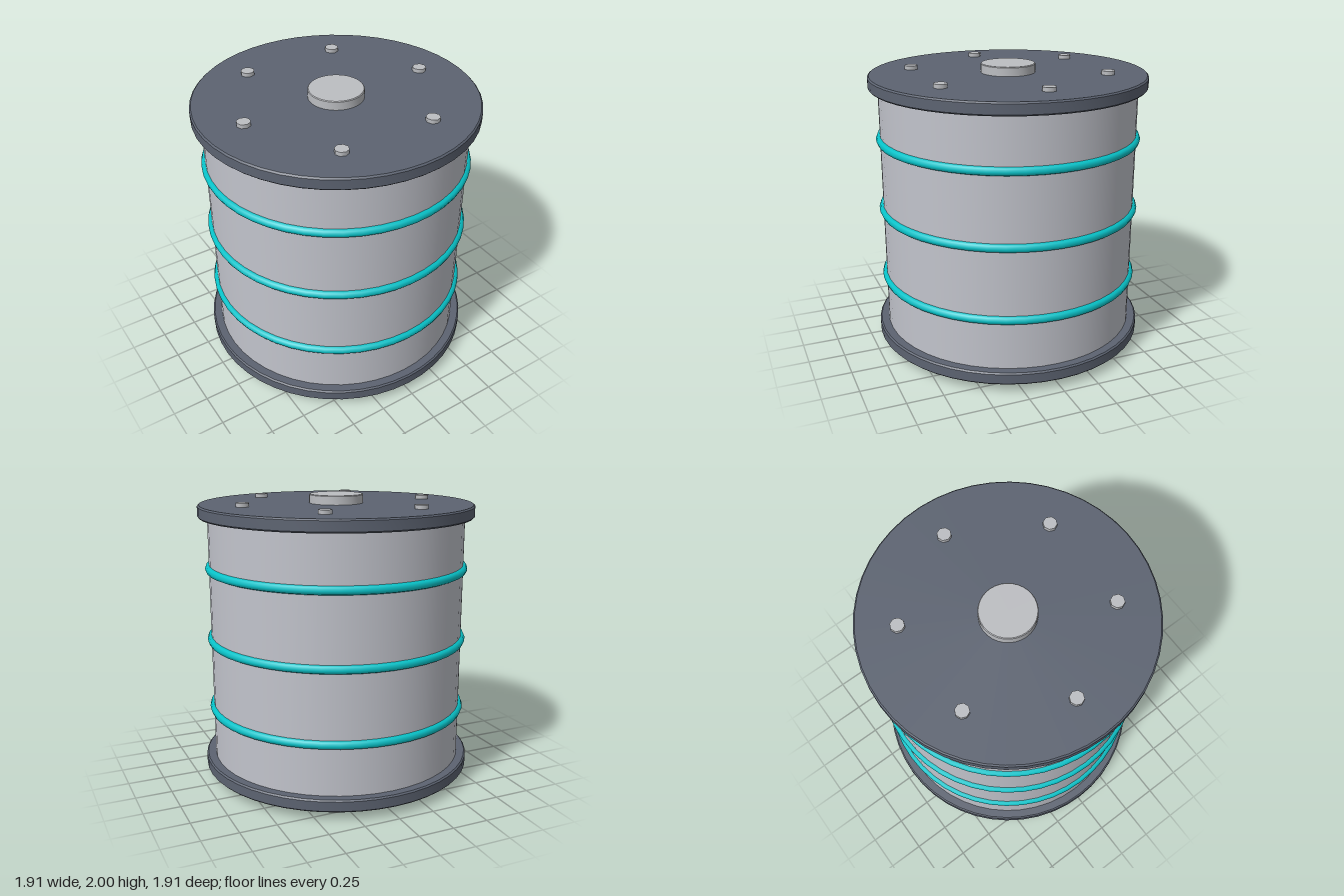
import * as THREE from 'three';
import { toCreasedNormals } from 'three/addons/utils/BufferGeometryUtils.js';

const mat = (name, color) => new THREE.MeshStandardMaterial({ name, color });

export function createModel() {
  const shellGrey = mat('shell grey', 0xc2c4cc);
  const steel = mat('steel', 0xbcbec2);
  const slate = mat('dark slate', 0x5c6371);
  const teal = mat('teal', 0x08c4ca);

  const model = new THREE.Group();
  model.name = 'drum';
  const add = (parent, name, geometry, material, x = 0, y = 0, z = 0) => {
    const mesh = new THREE.Mesh(geometry, material);
    mesh.name = name;
    mesh.position.set(x, y, z);
    parent.add(mesh);
    return mesh;
  };

  // Disc with a small chamfer on both rims, centred on y = 0
  const disc = (r, h, bevel, sides) => {
    const k = h / 2;
    const profile = [[0, -k], [r - bevel, -k], [r, -k + bevel], [r, k - bevel], [r - bevel, k], [0, k]];
    const lathe = new THREE.LatheGeometry(profile.map(([x, y]) => new THREE.Vector2(x, y)), sides);
    return toCreasedNormals(lathe, 0.5);
  };

  // Cylindrical shell between the end plates
  add(model, 'shell', new THREE.CylinderGeometry(0.89, 0.89, 1.72, 48, 1, true), shellGrey, 0, 1, 0);

  // Bands around the shell
  const band = new THREE.TorusGeometry(0.888, 0.03, 8, 48).rotateX(Math.PI / 2);
  for (const y of [0.5, 1, 1.5]) add(model, 'band', band, teal, 0, y, 0);

  // Matching ends: plate, hub and six bolts, the lower one turned over
  const plate = disc(0.955, 0.086, 0.01, 48);
  const hub = disc(0.187, 0.08, 0.005, 32);
  const bolt = new THREE.CylinderGeometry(0.047, 0.047, 0.045, 8);
  for (const side of ['top', 'bottom']) {
    const end = new THREE.Group();
    end.name = side + 'End';
    end.position.y = 1;
    if (side === 'bottom') end.rotation.x = Math.PI;
    add(end, 'endPlate', plate, slate, 0, 0.895, 0);
    add(end, 'hub', hub, steel, 0, 0.96, 0);
    for (let i = 0; i < 6; i++) {
      const a = (i * Math.PI) / 3;
      add(end, 'bolt', bolt, steel, 0.68 * Math.cos(a), 0.9425, 0.68 * Math.sin(a));
    }
    model.add(end);
  }
  return model;
}
